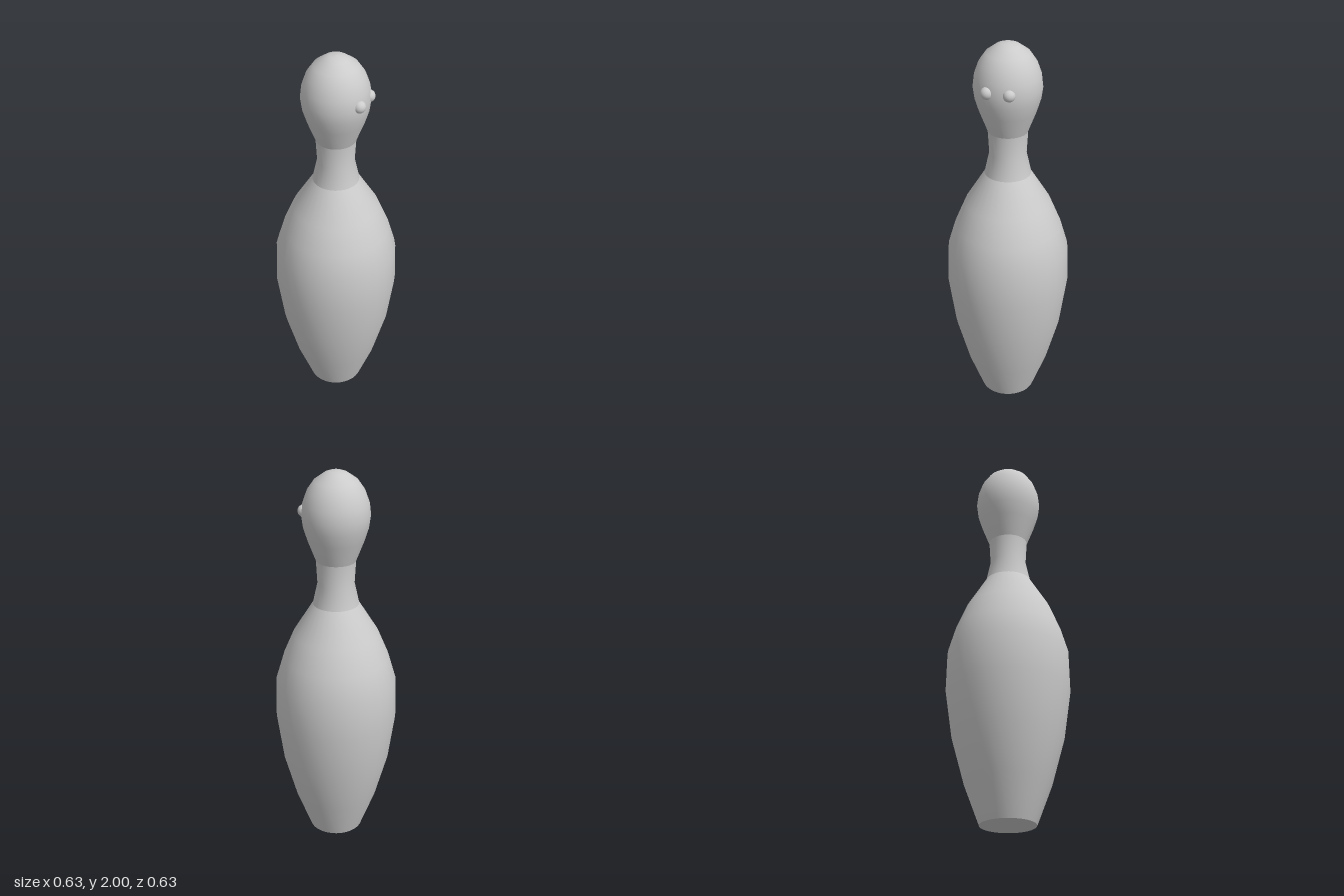
import * as THREE from 'three';

export function createModel() {
  const group = new THREE.Group();
  const material = new THREE.MeshStandardMaterial({ color: 0xcccccc, side: THREE.DoubleSide });

  // Each section is turned from [radius, height] pairs; separate meshes keep the seams crisp
  const turned = (name, profile) => {
    const points = profile.map(([r, y]) => new THREE.Vector2(r, y));
    const mesh = new THREE.Mesh(new THREE.LatheGeometry(points, 32), material);
    mesh.name = name;
    group.add(mesh);
  };

  turned('base', [[0, 0], [0.14, 0]]);
  turned('body', [
    [0.14, 0], [0.215, 0.2], [0.28, 0.44], [0.315, 0.69], [0.31, 0.89],
    [0.272, 1.02], [0.218, 1.15], [0.117, 1.315],
  ]);
  turned('neck', [[0.117, 1.315], [0.093, 1.425], [0.1, 1.545]]);
  turned('head', [
    [0.1, 1.545], [0.142, 1.655], [0.162, 1.72], [0.17, 1.78], [0.163, 1.84],
    [0.142, 1.9], [0.108, 1.95], [0.058, 1.987], [0.03, 1.998], [0, 2],
  ]);

  // Small round eyes set into the left side of the head
  const eyeGeometry = new THREE.SphereGeometry(0.031, 24, 16);
  [['frontEye', 0.062], ['backEye', -0.048]].forEach(([name, z]) => {
    const eye = new THREE.Mesh(eyeGeometry, material);
    eye.name = name;
    eye.position.set(0.149, 1.795, z);
    group.add(eye);
  });

  return group;
}
